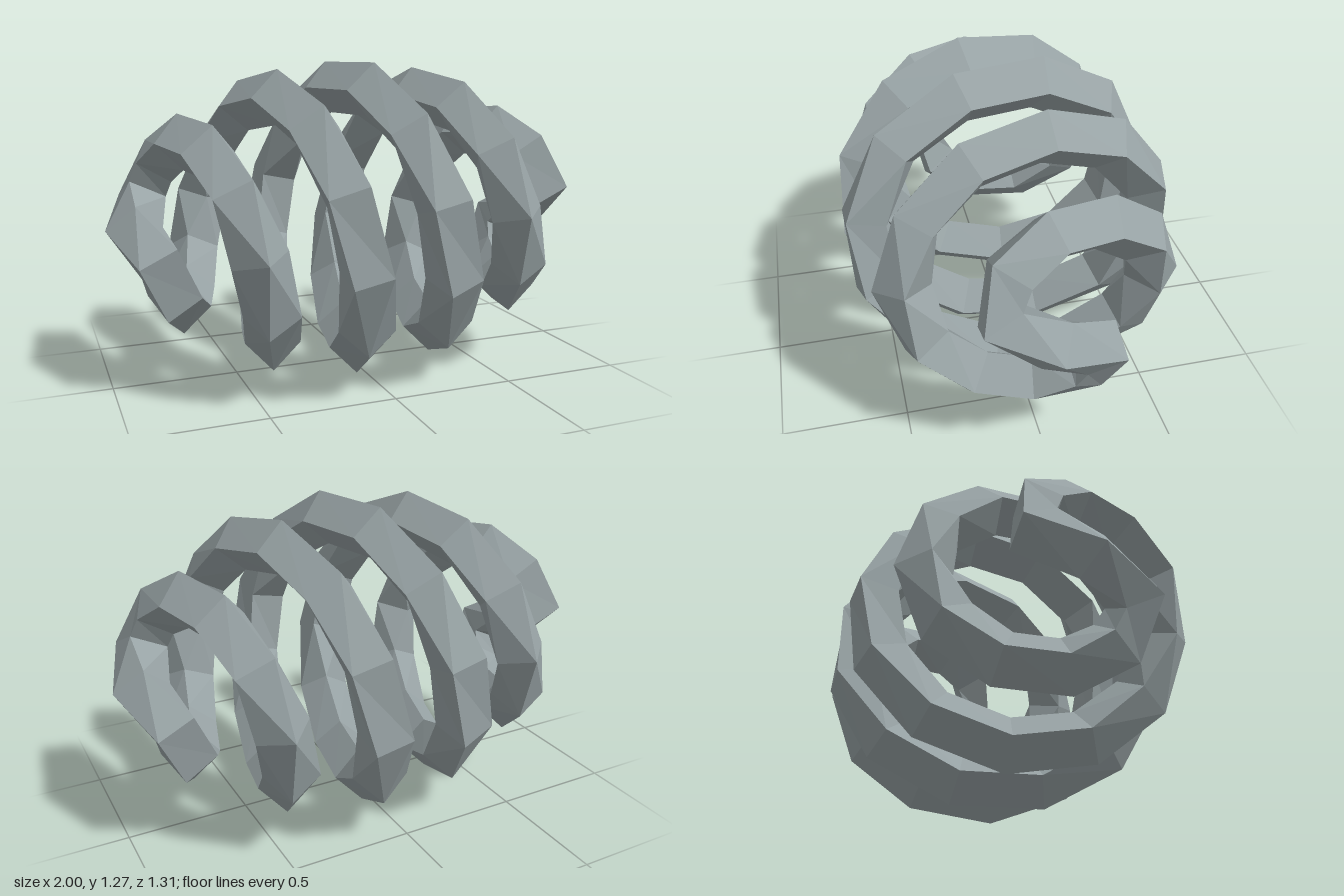
import * as THREE from 'three';

// Closed double spiral wound over an ellipsoid lying along x
const HALF_LENGTH = 0.89, RADIUS_Y = 0.549, RADIUS_Z = 0.6;
const TURNS = 2.5, STEPS = 29, TUBE = 0.11, SIDES = 4, CENTRE_Y = 0.635;
const RINGS = STEPS * 2;

// First half of the loop runs towards +x, second half returns opposite it
function centreLine(i) {
  i = (i + RINGS) % RINGS;
  const back = i > STEPS;
  const u = (back ? RINGS - i : i) / STEPS * 2 - 1;
  const angle = u * TURNS * Math.PI;
  const r = Math.sqrt(Math.max(0, 1 - u * u)) * (back ? -1 : 1);
  return new THREE.Vector3(
    u * HALF_LENGTH,
    CENTRE_Y + RADIUS_Y * r * Math.cos(angle),
    RADIUS_Z * r * Math.sin(angle)
  );
}

// Square cross-sections kept level with the y axis, joined in a loop
function spiralGeometry() {
  const positions = [], index = [];
  const up = new THREE.Vector3(0, 1, 0);
  for (let i = 0; i < RINGS; i++) {
    const p = centreLine(i);
    const t = centreLine(i + 1).sub(centreLine(i - 1)).normalize();
    const n = new THREE.Vector3().crossVectors(t, up).normalize();
    const b = new THREE.Vector3().crossVectors(n, t);
    for (let j = 0; j < SIDES; j++) {
      const a = j / SIDES * Math.PI * 2;
      const v = p.clone()
        .addScaledVector(n, TUBE * Math.cos(a))
        .addScaledVector(b, TUBE * Math.sin(a));
      positions.push(v.x, v.y, v.z);

      const i2 = (i + 1) % RINGS, j2 = (j + 1) % SIDES;
      const q = [i * SIDES + j, i2 * SIDES + j, i2 * SIDES + j2, i * SIDES + j2];
      index.push(q[0], q[1], q[3], q[1], q[2], q[3]);
    }
  }
  const indexed = new THREE.BufferGeometry();
  indexed.setAttribute('position', new THREE.Float32BufferAttribute(positions, 3));
  indexed.setIndex(index);
  const geometry = indexed.toNonIndexed();
  geometry.computeVertexNormals();
  return geometry;
}

export function createModel() {
  const model = new THREE.Group();
  model.name = 'spiralSculpture';
  const material = new THREE.MeshStandardMaterial({
    color: 0x98a3a5, flatShading: true, side: THREE.DoubleSide
  });
  material.name = 'greyStone';
  const band = new THREE.Mesh(spiralGeometry(), material);
  band.name = 'spiralBand';
  model.add(band);
  return model;
}
